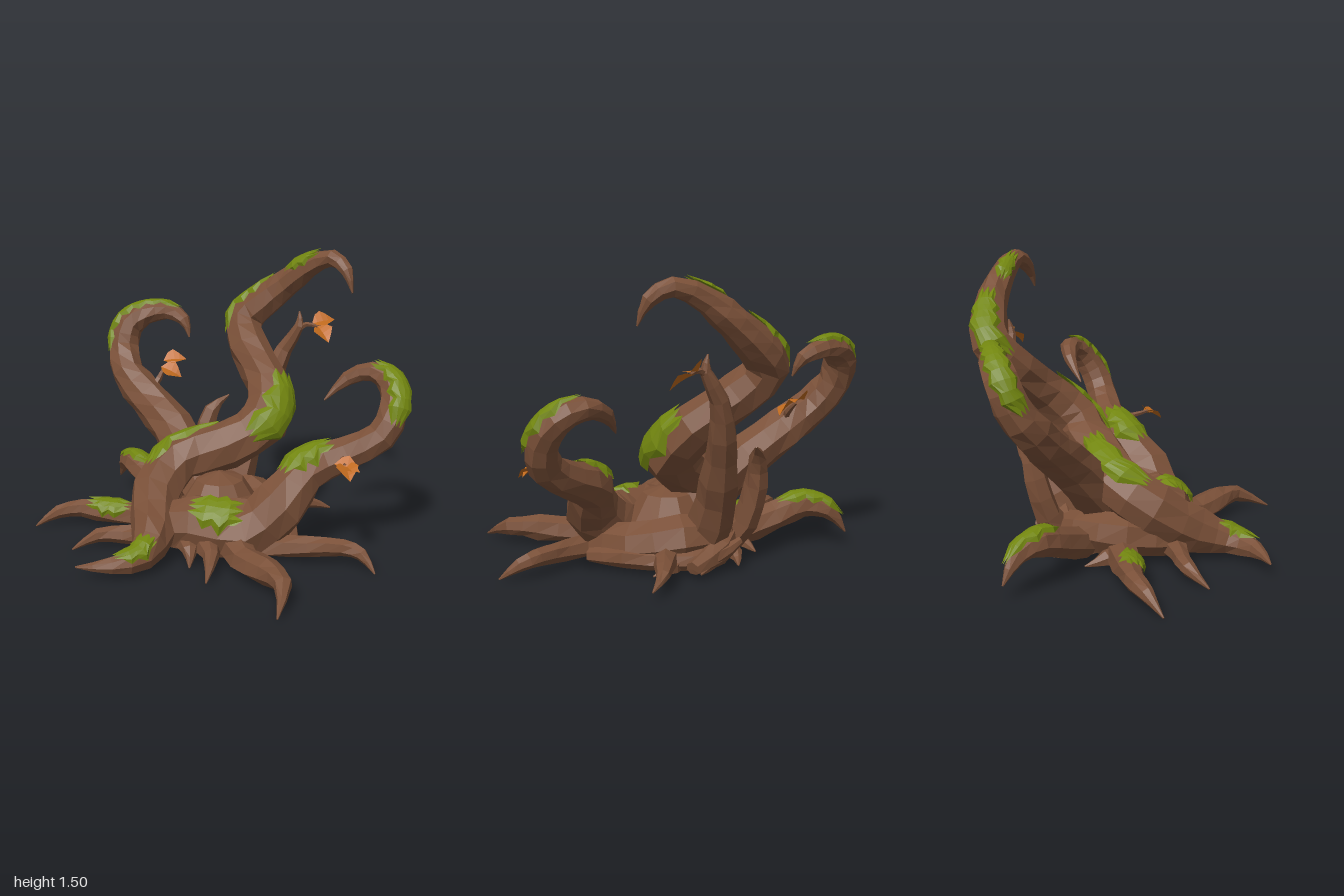
import * as THREE from 'three';

const bark = new THREE.MeshStandardMaterial({ color: 0x7a5038, flatShading: true, side: THREE.DoubleSide });
const moss = new THREE.MeshStandardMaterial({ color: 0x72860f, flatShading: true, side: THREE.DoubleSide });
const leaf = new THREE.MeshStandardMaterial({ color: 0xc06a1e, flatShading: true, side: THREE.DoubleSide });
const V = (x, y, z) => new THREE.Vector3(x, y, z);
const GROUND = 0.035;

let seed = 7;
const rand = () => ((seed = (seed * 16807) % 2147483647) / 2147483647);
const jitter = (a) => 1 + (rand() * 2 - 1) * a;

// Path made of [x, y, z, radius] points; at(i) samples it by point index
function makePath(points) {
  const curve = new THREE.CatmullRomCurve3(points.map((p) => V(p[0], p[1], p[2])), false, 'centripetal');
  const last = points.length - 1;
  return {
    last,
    at(i) {
      const k = Math.min(Math.floor(i), last - 1);
      const t = THREE.MathUtils.clamp(i / last, 0, 1);
      return {
        p: curve.getPoint(t),
        t: curve.getTangent(t),
        r: THREE.MathUtils.lerp(points[k][3], points[k + 1][3], i - k),
      };
    },
  };
}

// Skin a grid of cross-section rows, leaving faces that lie on the ground open
function skin(rows, material, name) {
  const pos = [];
  const w = rows[0].length;
  const index = [];
  const face = (...ids) => {
    if (ids.some((k) => Math.abs(pos[k * 3 + 1] - GROUND) > 1e-4)) index.push(...ids);
  };
  rows.forEach((row) => row.forEach((v) => pos.push(v.x, v.y, v.z)));
  for (let i = 0; i < rows.length - 1; i++) {
    for (let j = 0; j < w - 1; j++) {
      const a = i * w + j;
      const c = a + w;
      face(a, a + 1, c);
      face(a + 1, c + 1, c);
    }
  }
  let g = new THREE.BufferGeometry();
  g.setAttribute('position', new THREE.Float32BufferAttribute(pos, 3));
  g.setIndex(index);
  g = g.toNonIndexed();
  g.computeVertexNormals();
  const mesh = new THREE.Mesh(g, material);
  mesh.name = name;
  return mesh;
}

// Tapered, slightly lumpy limb cut off where it meets the ground
function limb(path, name, sides = 8, step = 0.5) {
  const rows = [];
  let n = null;
  for (let i = 0; i <= path.last + 1e-6; i += step) {
    const { p, t, r } = path.at(Math.min(i, path.last));
    if (!n) n = Math.abs(t.y) > 0.8 ? V(1, 0, 0) : V(0, 1, 0);
    n.addScaledVector(t, -n.dot(t)).normalize();
    const b = t.clone().cross(n);
    const row = [];
    for (let j = 0; j < sides; j++) {
      const a = (j / sides) * Math.PI * 2;
      const rr = r * jitter(0.08);
      const v = p.clone().addScaledVector(n, Math.cos(a) * rr).addScaledVector(b, Math.sin(a) * rr);
      v.y = Math.max(v.y, r > 0.035 ? GROUND : 0.005);
      row.push(v);
    }
    row.push(row[0].clone());
    rows.push(row);
  }
  const end = path.at(path.last).p;
  rows.push(rows[0].map(() => end.clone()));
  return skin(rows, bark, name);
}

// Ragged moss sheet hugging a limb between two path indices
function mossPatch(path, from, to, facing, spread) {
  const rows = [];
  const steps = Math.max(5, Math.round((to - from) * 3.5));
  for (let i = 0; i <= steps; i++) {
    const f = i / steps;
    const { p, t, r } = path.at(from + (to - from) * f);
    const n = V(...facing).normalize();
    n.addScaledVector(t, -n.dot(t)).normalize();
    const b = t.clone().cross(n);
    const taper = Math.pow(Math.sin(Math.PI * (0.12 + 0.76 * f)), 0.6);
    const width = spread * taper * (i % 2 ? 1.2 : 0.78);
    const row = [];
    for (let j = 0; j <= 6; j++) {
      const a = (j / 3 - 1) * width;
      const edge = j === 0 || j === 6 || i === 0 || i === steps;
      const rr = edge ? r * 0.99 + 0.004 : r * 1.05 + 0.012;
      // Staggered teeth at both ends
      const tooth = (i === 0 ? -1 : i === steps ? 1 : 0) * (j % 2 ? 0.045 : 0);
      row.push(p.clone().addScaledVector(n, Math.cos(a) * rr).addScaledVector(b, Math.sin(a) * rr).addScaledVector(t, tooth));
    }
    rows.push(row);
  }
  return skin(rows, moss, 'mossPatch');
}

// Folded leaf blade pointing along +x
function leafBlade(position, rotation) {
  const rows = [[0, 0], [0.25, 0.32], [0.5, 0.44], [0.72, 0.27], [1, 0]].map(([x, w]) => {
    const droop = -0.25 * x * x;
    return [V(x, droop + w * 0.45, -w), V(x, droop, 0), V(x, droop + w * 0.45, w)];
  });
  const mesh = skin(rows, leaf, 'leaf');
  mesh.scale.setScalar(0.13);
  mesh.position.set(...position);
  mesh.rotation.set(...rotation);
  return mesh;
}

export function createModel() {
  seed = 7;
  const model = new THREE.Group();
  model.name = 'twistedTree';

  // Main limbs
  const trunk = makePath([
    [-0.68, 0.07, 0.46, 0.005], [-0.5, 0.08, 0.46, 0.045], [-0.36, 0.09, 0.38, 0.075], [-0.31, 0.15, 0.2, 0.12],
    [-0.32, 0.28, -0.02, 0.13], [-0.2, 0.4, -0.18, 0.135], [0.05, 0.49, -0.21, 0.13], [0.26, 0.61, -0.26, 0.13],
    [0.28, 0.78, -0.42, 0.12], [0.17, 0.93, -0.6, 0.11], [0.15, 1.07, -0.73, 0.105], [0.26, 1.18, -0.72, 0.095],
    [0.38, 1.29, -0.67, 0.08], [0.49, 1.39, -0.6, 0.065], [0.62, 1.46, -0.5, 0.048], [0.69, 1.4, -0.42, 0.035],
    [0.72, 1.29, -0.38, 0.004],
  ]);
  const leftLimb = makePath([
    [0, 0.15, -0.1, 0.12], [-0.12, 0.32, -0.25, 0.13], [-0.25, 0.52, -0.42, 0.12], [-0.4, 0.65, -0.55, 0.108],
    [-0.52, 0.77, -0.66, 0.096], [-0.55, 0.9, -0.76, 0.088], [-0.52, 1.02, -0.8, 0.08], [-0.43, 1.08, -0.81, 0.068],
    [-0.3, 1.1, -0.8, 0.052], [-0.2, 1.06, -0.74, 0.036], [-0.17, 0.97, -0.7, 0.004],
  ]);
  const rightLimb = makePath([
    [-0.3, 0.14, 0.05, 0.12], [-0.1, 0.17, 0.12, 0.15], [0.17, 0.16, 0.16, 0.165], [0.34, 0.29, 0.15, 0.14],
    [0.47, 0.44, 0.06, 0.115], [0.68, 0.53, 0.03, 0.095], [0.85, 0.63, 0.04, 0.085], [0.92, 0.76, 0, 0.078],
    [0.91, 0.87, -0.08, 0.07], [0.82, 0.92, -0.16, 0.055], [0.69, 0.87, -0.19, 0.038], [0.57, 0.76, -0.16, 0.004],
  ]);
  model.add(limb(trunk, 'trunk'), limb(leftLimb, 'leftBackLimb'), limb(rightLimb, 'rightLimb'));

  // Rear shoots
  model.add(limb(makePath([
    [0.05, 0.08, -0.3, 0.13], [0.1, 0.28, -0.42, 0.115], [0.19, 0.5, -0.5, 0.095], [0.29, 0.74, -0.57, 0.07],
    [0.37, 0.93, -0.6, 0.045], [0.45, 1.07, -0.57, 0.028], [0.45, 1.15, -0.58, 0.004],
  ]), 'rearShoot', 7));
  model.add(limb(makePath([
    [-0.04, 0.06, -0.36, 0.075], [-0.08, 0.22, -0.5, 0.07], [-0.08, 0.42, -0.56, 0.058], [-0.04, 0.57, -0.59, 0.045],
    [0.06, 0.65, -0.63, 0.004],
  ]), 'rearStub', 6));

  // Thick strands wrapping the base
  [
    [[0.28, 0.11, 0.15, 0.1], [0.31, 0.13, -0.08, 0.11], [0.2, 0.17, -0.29, 0.12], [0, 0.15, -0.4, 0.1], [-0.25, 0.08, -0.38, 0.05]],
    [[-0.3, 0.12, 0.08, 0.09], [-0.3, 0.15, -0.15, 0.11], [-0.16, 0.16, -0.34, 0.1], [0.1, 0.1, -0.44, 0.08], [0.3, 0.06, -0.42, 0.04]],
    [[0.4, 0.06, 0.12, 0.04], [0.38, 0.08, -0.08, 0.06], [0.3, 0.08, -0.28, 0.06], [0.15, 0.09, -0.46, 0.05], [0.02, 0.15, -0.53, 0.02]],
  ].forEach((points) => model.add(limb(makePath(points), 'baseStrand', 7)));

  // Long roots
  const leftRoot = makePath([[-0.25, 0.07, -0.18, 0.09], [-0.55, 0.08, -0.22, 0.072], [-0.75, 0.1, -0.25, 0.052],
    [-0.88, 0.08, -0.23, 0.036], [-1, 0.01, -0.19, 0.004]]);
  const archedRoot = makePath([[-0.2, 0.1, -0.35, 0.09], [-0.38, 0.18, -0.52, 0.08], [-0.49, 0.23, -0.64, 0.068],
    [-0.55, 0.2, -0.75, 0.048], [-0.6, 0.08, -0.83, 0.004]]);
  const roots = [
    leftRoot, archedRoot,
    makePath([[0.1, 0.1, 0.2, 0.1], [0.16, 0.08, 0.38, 0.08], [0.27, 0.1, 0.55, 0.068], [0.34, 0.1, 0.69, 0.046], [0.31, 0.02, 0.88, 0.004]]),
    makePath([[0.25, 0.07, 0.18, 0.08], [0.48, 0.09, 0.22, 0.055], [0.66, 0.1, 0.25, 0.046], [0.75, 0.08, 0.29, 0.034], [0.81, 0.01, 0.37, 0.004]]),
    makePath([[-0.25, 0.07, 0.1, 0.08], [-0.48, 0.08, 0.07, 0.05], [-0.62, 0.07, 0.06, 0.038], [-0.75, 0.01, 0.12, 0.004]]),
    makePath([[-0.05, 0.08, 0.18, 0.08], [-0.01, 0.09, 0.35, 0.042], [-0.03, 0.02, 0.52, 0.004]]),
    makePath([[-0.15, 0.08, 0.15, 0.07], [-0.12, 0.08, 0.27, 0.04], [-0.12, 0.02, 0.35, 0.004]]),
    makePath([[0.15, 0.08, -0.2, 0.09], [0.38, 0.09, -0.31, 0.055], [0.52, 0.09, -0.39, 0.034], [0.64, 0.05, -0.41, 0.004]]),
  ];
  roots.forEach((path) => model.add(limb(path, 'root', 7)));

  // Short tangled roots around the back
  for (let i = 0; i < 5; i++) {
    const a = Math.PI * (1.08 + i * 0.16);
    const spot = (d, y, r, turn) => [Math.cos(a + turn) * d, y, Math.sin(a + turn) * d - 0.08, r];
    model.add(limb(makePath([spot(0.12, 0.1, 0.09, 0), spot(0.3, 0.08, 0.055, 0.1), spot(0.4, 0.06, 0.04, 0.25), spot(0.47, 0.035, 0.004, 0.45)]), 'shortRoot', 6));
  }

  // Hollow domed stump joining everything
  const profile = [[0.27, GROUND], [0.22, 0.2], [0.13, 0.34], [0, 0.38]].map(([r, y]) => new THREE.Vector2(r, y));
  const stump = new THREE.Mesh(new THREE.LatheGeometry(profile, 10), bark);
  stump.name = 'stump';
  stump.position.set(0.02, 0, -0.1);
  model.add(stump);

  // Moss
  [
    [trunk, 1.3, 2.3, [0, 1, 0.3], 1], [trunk, 4.5, 5.9, [0, 1, -0.35], 0.65], [trunk, 6.65, 7.9, [1, 0.8, 0.7], 0.95],
    [trunk, 9.7, 11.6, [-0.8, 1, -0.4], 0.8], [trunk, 12.6, 13.5, [-0.3, 1, 0.5], 0.75],
    [leftLimb, 5, 8.3, [-0.6, 1, -0.2], 0.85],
    [rightLimb, 1.1, 1.8, [0, 1, 0.65], 0.75], [rightLimb, 3.75, 4.6, [-0.3, 1, 0.1], 1.05], [rightLimb, 6.7, 8.7, [0.5, 0.8, 0.7], 1],
    [leftRoot, 0.85, 1.6, [0, 1, 0.5], 1.1], [archedRoot, 1.4, 3.2, [0, 1, -0.2], 0.95],
  ].forEach((m) => model.add(mossPatch(...m)));

  // Leafy twigs
  [
    [[[-0.4, 0.66, -0.55, 0.02], [-0.34, 0.75, -0.6, 0.018], [-0.31, 0.81, -0.66, 0.008]],
      [[-0.32, 0.83, -0.7], [0.5, 0.1, 0.25]], [[-0.33, 0.81, -0.64], [0.6, -0.4, 0]]],
    [[[0.66, 0.53, 0.06, 0.02], [0.65, 0.53, 0.17, 0.015], [0.65, 0.55, 0.26, 0.008]],
      [[0.6, 0.55, 0.25], [0.4, -0.3, 0.1]], [[0.65, 0.55, 0.23], [0.2, -1.4, 0]]],
    [[[0.44, 1.05, -0.57, 0.02], [0.49, 1.08, -0.56, 0.015], [0.55, 1.07, -0.55, 0.008]],
      [[0.52, 1.08, -0.57], [0.6, 0.3, 0.2]], [[0.55, 1.07, -0.57], [0.4, -1.1, 0]]],
  ].forEach(([twig, ...leaves]) => {
    model.add(limb(makePath(twig), 'twig', 5));
    leaves.forEach((l) => model.add(leafBlade(...l)));
  });
  return model;
}
